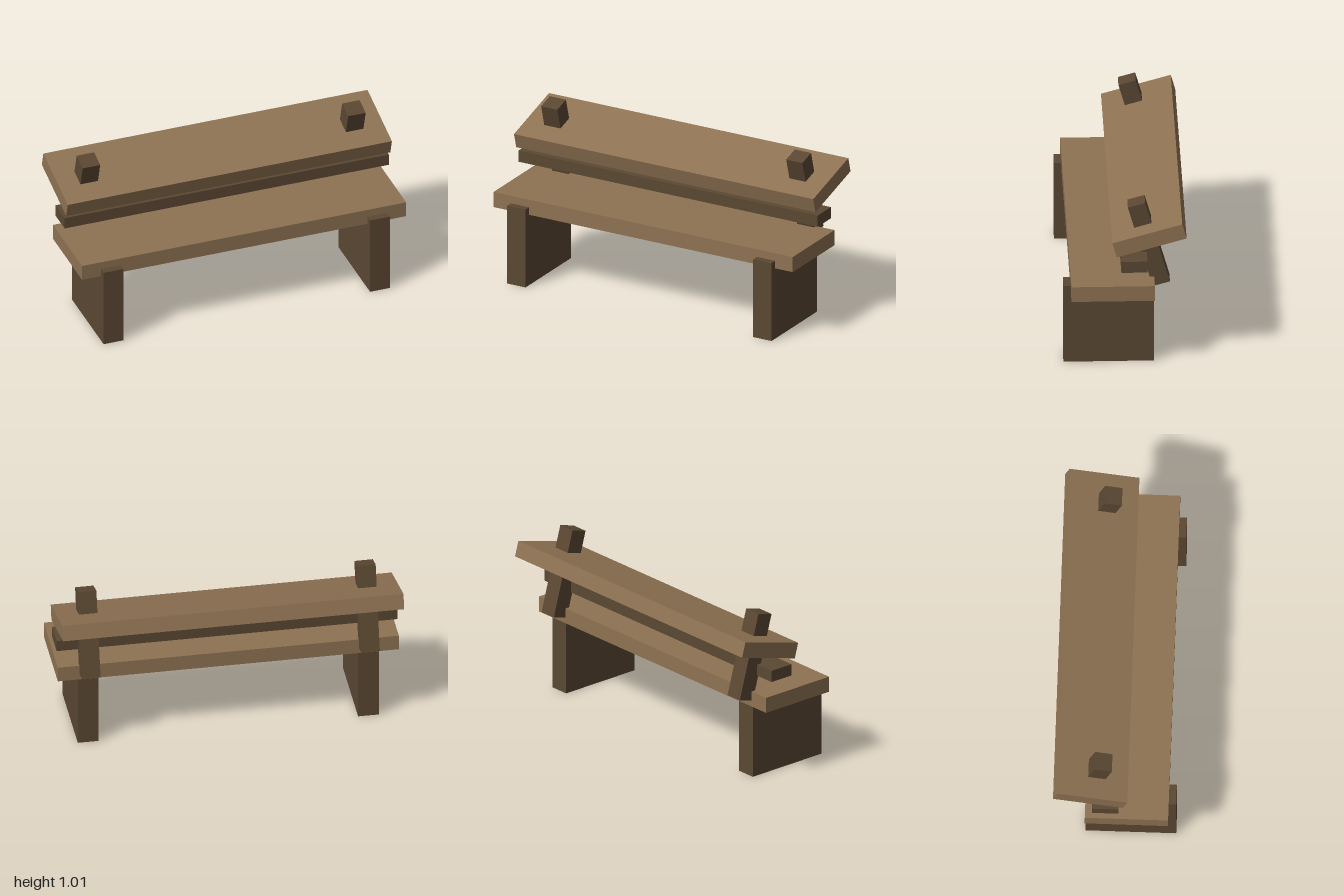
import * as THREE from 'three';

const LIGHT = new THREE.MeshStandardMaterial({ color: 0x8f7353, flatShading: true });
const DARK = new THREE.MeshStandardMaterial({ color: 0x5b4833, flatShading: true });
const TILT = 0.277; // lean of the backrest

function beam(name, size, position, material, tilt = 0) {
  const mesh = new THREE.Mesh(new THREE.BoxGeometry(...size), material);
  mesh.name = name;
  mesh.position.set(...position);
  mesh.rotation.x = tilt;
  return mesh;
}

// Slab leg with a notch for the seat, leaving a lip at the front
function leg(name, x) {
  const width = 0.122;
  const profile = new THREE.Shape([
    [-0.355, 0], [0.17, 0], [0.17, 0.438], [-0.312, 0.438], [-0.312, 0.485], [-0.355, 0.485],
  ].map(([u, v]) => new THREE.Vector2(u, v)));
  const geometry = new THREE.ExtrudeGeometry(profile, { depth: width, bevelEnabled: false });
  geometry.translate(0, 0, -width / 2).rotateY(Math.PI / 2);
  const mesh = new THREE.Mesh(geometry, DARK);
  mesh.name = name;
  mesh.position.x = x;
  return mesh;
}

export function createModel() {
  const bench = new THREE.Group();
  bench.name = 'bench';

  // Long planks
  bench.add(
    beam('seat', [2, 0.094, 0.482], [0, 0.485, 0.071], LIGHT),
    beam('backRail', [2, 0.07, 0.152], [0, 0.655, -0.052], DARK),
    beam('backBoard', [2, 0.094, 0.42], [0, 0.8225, -0.139], LIGHT, TILT),
  );

  // Legs and leaning posts at both ends
  for (const [side, s] of [['left', 1], ['right', -1]]) {
    bench.add(
      leg(side + 'Leg', s * 0.822),
      beam(side + 'Post', [0.108, 0.525, 0.104], [s * 0.819, 0.7385, -0.1395], DARK, TILT),
    );
  }
  return bench;
}
